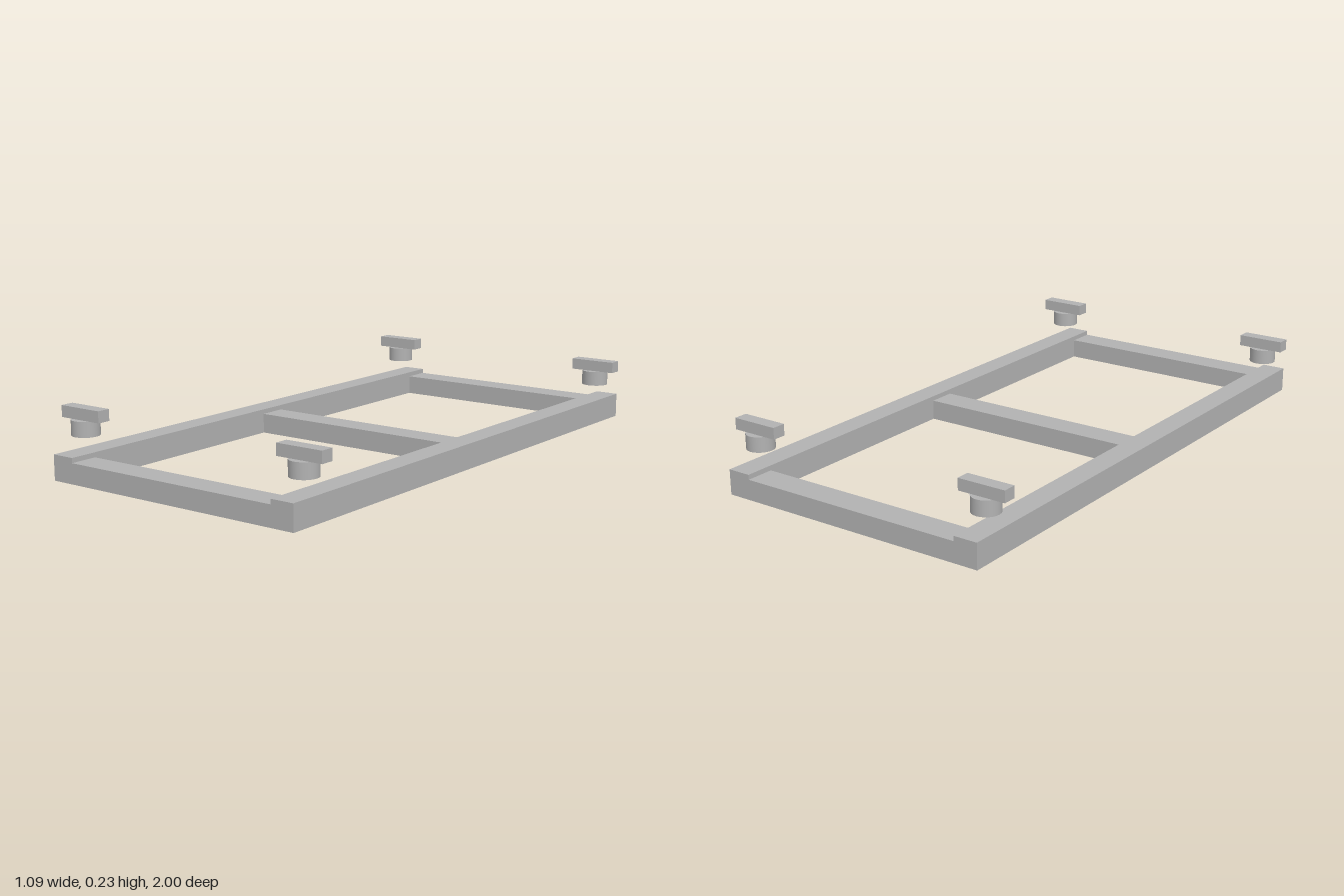
import * as THREE from 'three';

export function createModel() {
  const model = new THREE.Group();
  const grey = new THREE.MeshStandardMaterial({ color: 0xb2b2b2 });
  grey.name = 'grey';

  function add(name, geometry, x, y, z, parent = model) {
    const mesh = new THREE.Mesh(geometry, grey);
    mesh.name = name;
    mesh.position.set(x, y, z);
    parent.add(mesh);
  }

  // Long side rails, slightly taller than the cross beams
  const railW = 0.085, railH = 0.088, beamH = 0.071;
  for (const s of [1, -1]) {
    add(s > 0 ? 'leftRail' : 'rightRail',
      new THREE.BoxGeometry(railW, railH, 2), s * (0.5 - railW / 2), railH / 2, 0);
  }

  // Cross beams fitted between the rails
  for (const [name, z] of [['frontBeam', 0.95], ['middleBeam', 0], ['backBeam', -0.95]]) {
    add(name, new THREE.BoxGeometry(1 - 2 * railW, beamH, 0.1), 0, beamH / 2, z);
  }

  // Clamps floating above the four corners: round stem with a bar handle
  for (const sx of [1, -1]) {
    for (const sz of [1, -1]) {
      const clamp = new THREE.Group();
      clamp.name = (sz > 0 ? 'front' : 'back') + (sx > 0 ? 'Left' : 'Right') + 'Clamp';
      clamp.position.set(sx * 0.457, 0, sz * 0.896);
      add('stem', new THREE.CylinderGeometry(0.048, 0.048, 0.053, 24), 0, 0.1665, 0, clamp);
      add('handle', new THREE.BoxGeometry(0.171, 0.04, 0.048), 0, 0.213, 0, clamp);
      model.add(clamp);
    }
  }
  return model;
}
